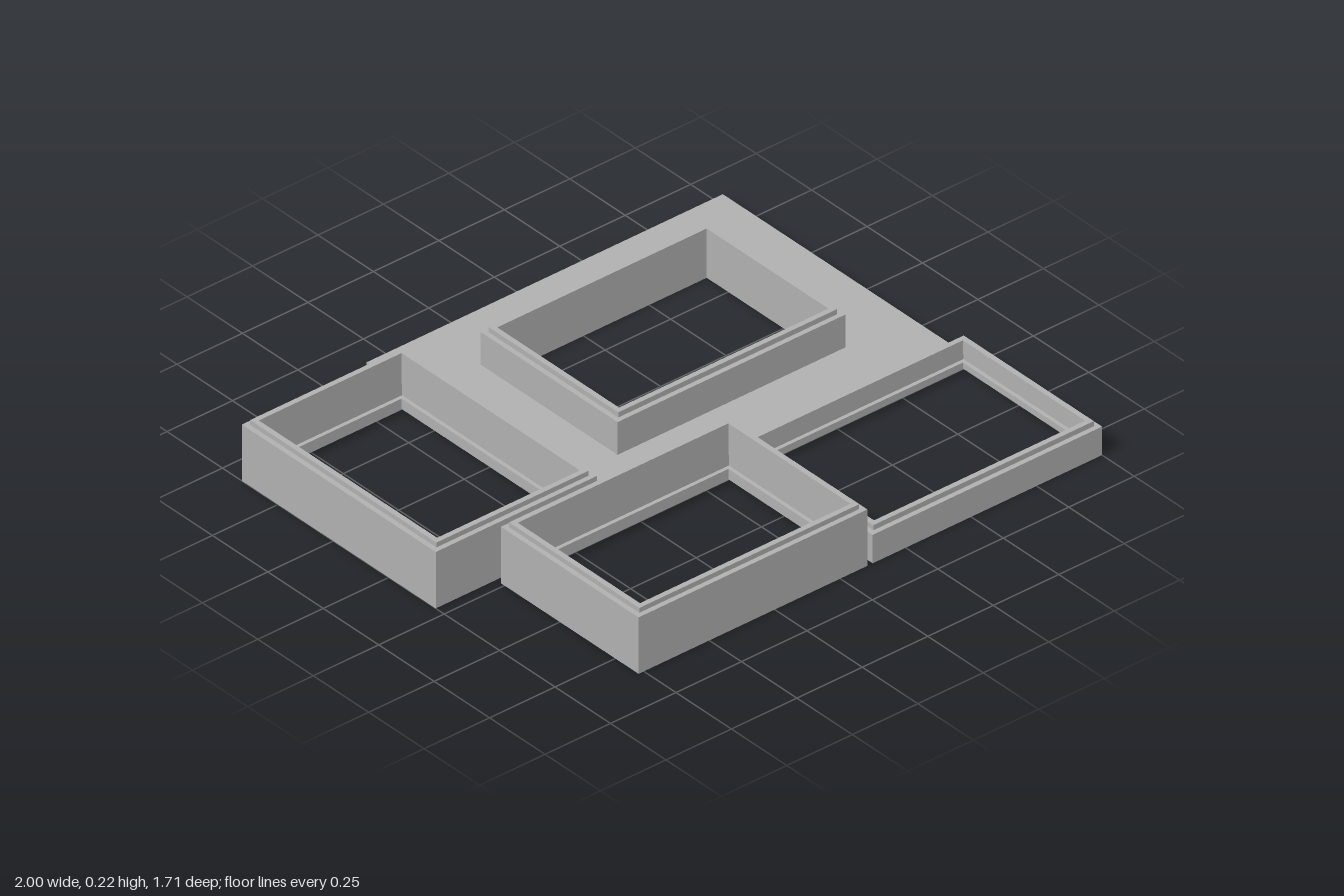
import * as THREE from 'three';

const WALL = 0.035, LIP = 0.017;

// Sweeps a closed [inset, height] section around a rectangle with mitred corners.
function sweepRect([x0, x1, z0, z1], section) {
  const corner = (i, [d, y]) => [
    [x0 + d, y, z1 - d], [x1 - d, y, z1 - d], [x1 - d, y, z0 + d], [x0 + d, y, z0 + d],
  ][i % 4];
  const pos = [];
  for (let side = 0; side < 4; side++) {
    section.forEach((p, k) => {
      const q = section[(k + 1) % section.length];
      const a = corner(side, p), b = corner(side + 1, p);
      const c = corner(side + 1, q), d = corner(side, q);
      pos.push(...a, ...b, ...c, ...a, ...c, ...d);
    });
  }
  const geo = new THREE.BufferGeometry();
  geo.setAttribute('position', new THREE.Float32BufferAttribute(pos, 3));
  geo.computeVertexNormals();
  return geo;
}

// Outer wall and stepped top lip, ending at the inner top edge.
const wallTop = (base, shoulder, top) => [
  [0, base], [0, shoulder], [LIP, shoulder], [LIP, top], [WALL, top],
];

// Stacking frame: lip on top, inner groove, and a socket underneath.
function frameSection(shoulder, top, grooveLow, grooveHigh) {
  const groove = WALL - 0.013;
  return [
    ...wallTop(0, shoulder, top),
    [WALL, grooveHigh], [groove, grooveHigh], [groove, grooveLow], [WALL, grooveLow],
    [WALL, 0.02], [LIP, 0.02], [LIP, 0],
  ];
}

function rectPoints([x0, x1, z0, z1]) {
  return [[x0, -z1], [x1, -z1], [x1, -z0], [x0, -z0]].map(([x, y]) => new THREE.Vector2(x, y));
}

// Flat slab with a rectangular opening and optional round holes.
function slab(outer, opening, y, depth, holes = []) {
  const shape = new THREE.Shape(rectPoints(outer));
  shape.holes.push(new THREE.Path(rectPoints(opening)));
  for (const [x, z] of holes) {
    shape.holes.push(new THREE.Path().absarc(x, -z, 0.021, 0, Math.PI * 2, true));
  }
  return new THREE.ExtrudeGeometry(shape, { depth, bevelEnabled: false, curveSegments: 12 })
    .rotateX(-Math.PI / 2).translate(0, y, 0);
}

export function createModel() {
  const model = new THREE.Group();
  model.name = 'stackingFrames';
  const grey = new THREE.MeshStandardMaterial({ color: 0xb0b0b0 });
  grey.name = 'grey';
  const add = (name, geo, parent = model) => {
    const mesh = new THREE.Mesh(geo, grey);
    mesh.name = name;
    parent.add(mesh);
  };

  // Loose stacking frames
  const tall = frameSection(0.198, 0.215, 0.055, 0.105);
  const low = frameSection(0.1, 0.118, 0.04, 0.068);
  add('sideTallFrame', sweepRect([-1, -0.385, -0.662, 0.212], tall));
  add('frontTallFrame', sweepRect([-0.77, 0.104, 0.234, 0.855], tall));
  add('frontLowFrame', sweepRect([0.124, 1, 0.234, 0.855], low));

  // Base plate with a raised collar and blind holes beneath its corners
  const base = new THREE.Group();
  base.name = 'base';
  model.add(base);
  const plate = [-0.36, 1, -0.855, 0.212];
  const collar = [-0.115, 0.755, -0.632, -0.013];
  const opening = collar.map((v, i) => v + (i % 2 ? -WALL : WALL));
  const holes = [];
  for (const x of [plate[0] + 0.08, plate[1] - 0.08]) {
    for (const z of [plate[2] + 0.08, plate[3] - 0.08]) holes.push([x, z]);
  }
  add('plateUnderside', slab(plate, opening, 0, 0.028, holes), base);
  add('plateTop', slab(plate, opening, 0.028, 0.012), base);
  add('collar', sweepRect(collar, [...wallTop(0.04, 0.155, 0.173), [WALL, 0.04]]), base);

  return model;
}
